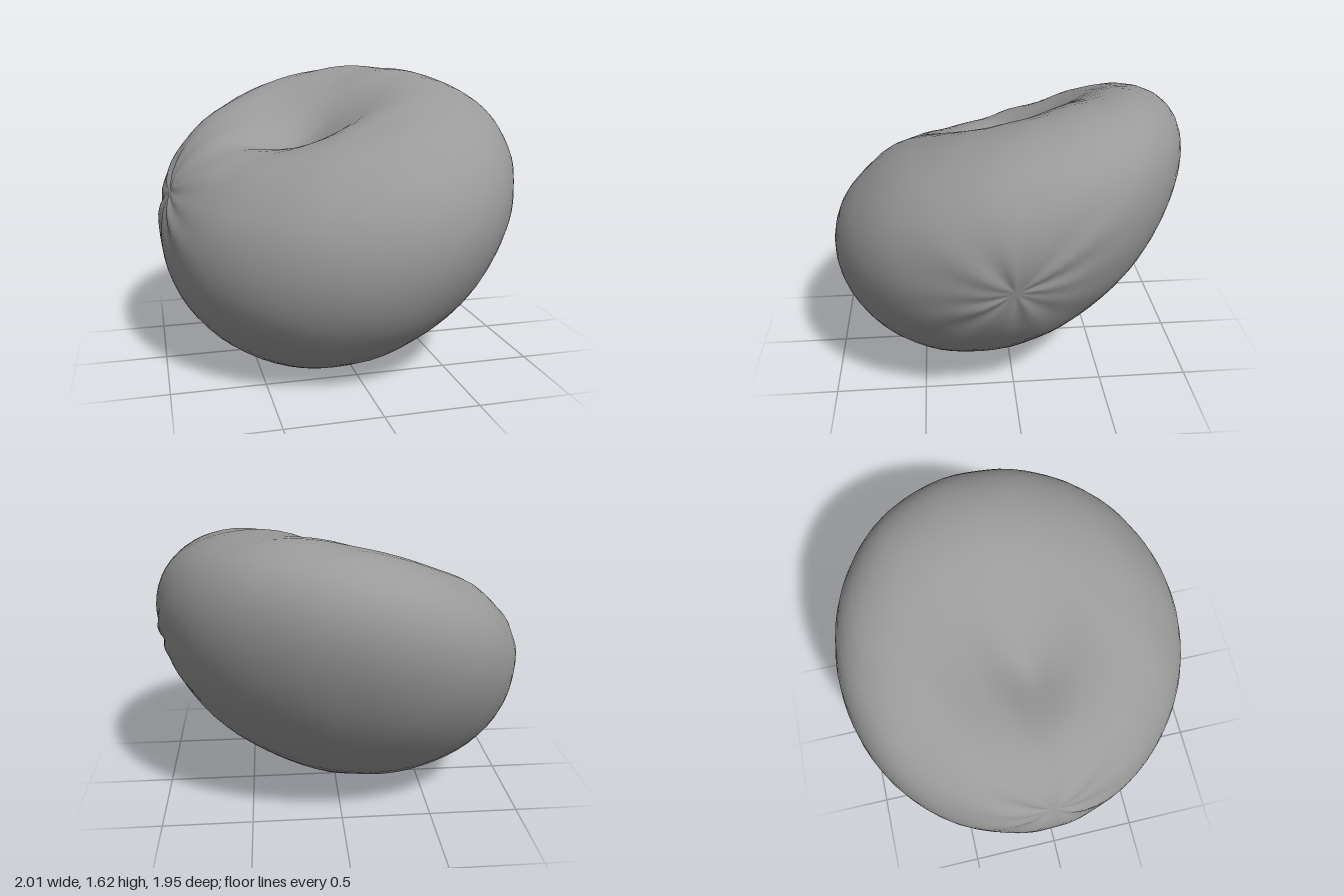
import * as THREE from 'three';
import { mergeVertices } from 'three/addons/utils/BufferGeometryUtils.js';

// Shallow pit with uneven radial puckers around a pole direction
function pucker(u, pole, folds, phase) {
  const d = u.distanceTo(pole);
  const a = Math.atan2(u.z - pole.z, u.y - pole.y);
  const wave = Math.sin(folds * a + phase) + 0.8 * Math.sin((folds - 4) * a + 2 * phase + 5 * d);
  const fade = Math.min(1, d / 0.2) * Math.exp(-((d / 0.45) ** 2));
  return -0.015 * Math.exp(-((d / 0.1) ** 2)) + 0.007 * wave * fade;
}

// Smooth fullness of the skin towards one direction
function fullness(u, towards, amount) {
  return amount * Math.max(0, u.dot(towards)) ** 6;
}

export function createModel() {
  const group = new THREE.Group();
  group.name = 'cushion';

  // Seamless sphere whose poles are the two gathered ends
  const tilt = 0.27;
  let geometry = new THREE.SphereGeometry(1, 56, 40);
  geometry.rotateZ(-Math.PI / 2 - tilt);
  geometry.deleteAttribute('uv');
  geometry.deleteAttribute('normal');
  geometry = mergeVertices(geometry, 1e-4);

  const rightEnd = new THREE.Vector3(Math.cos(tilt), -Math.sin(tilt), 0);
  const leftEnd = rightEnd.clone().negate();
  const lowerLeft = new THREE.Vector3(-0.8, -0.6, 0);
  const lowerRight = new THREE.Vector3(0.75, -0.5, -0.43);
  const pos = geometry.attributes.position;
  const u = new THREE.Vector3();
  for (let i = 0; i < pos.count; i++) {
    u.fromBufferAttribute(pos, i);
    const swell = 1 + pucker(u, rightEnd, 11, 0.4) + pucker(u, leftEnd, 9, 1.3)
      + fullness(u, lowerLeft, 0.04) + fullness(u, lowerRight, 0.04);
    // Slightly skewed plan, fuller towards the back right
    const bulge = 0.03 * Math.max(0, -(u.x + u.z) * Math.SQRT1_2) ** 3;
    const x = (0.985 * u.x + 0.03 * u.z) * swell - bulge;
    const z = (0.97 * u.z + 0.03 * u.x) * swell - bulge;
    // Tilted, flattened body with a raised rim
    let y = 0.945 + 0.18 * x - 0.26 * z + 0.05 * z * z + 0.75 * u.y * swell - 0.15 * u.y * u.y;
    // Dimple in the upper face, with soft folds running out of it
    const dx = x + 0.21, dz = z + 0.02;
    const r2 = dx * dx * 0.85 + dz * dz;
    const top = THREE.MathUtils.smoothstep(u.y, 0, 0.5);
    y -= top * (0.26 * Math.exp(-r2 / 0.15) + 0.05 * Math.exp(-r2 / 0.03));
    y += top * 0.009 * Math.sin(20 * dz + 4 * x) * Math.exp(-r2 / 0.35);
    // Faint ripples in the fabric
    y += 0.006 * Math.sin(15 * z + 2 * Math.sin(4 * x)) * Math.sin(6 * x + 4 * u.y);
    pos.setXYZ(i, x, y, z);
  }

  // Centre it and stand it on the ground
  geometry.computeBoundingBox();
  const mid = geometry.boundingBox.getCenter(new THREE.Vector3());
  geometry.translate(-mid.x, -geometry.boundingBox.min.y, -mid.z);
  geometry.computeVertexNormals();

  const body = new THREE.Mesh(geometry, new THREE.MeshStandardMaterial({ color: 0x9a9a9a }));
  body.name = 'body';
  group.add(body);
  return group;
}
